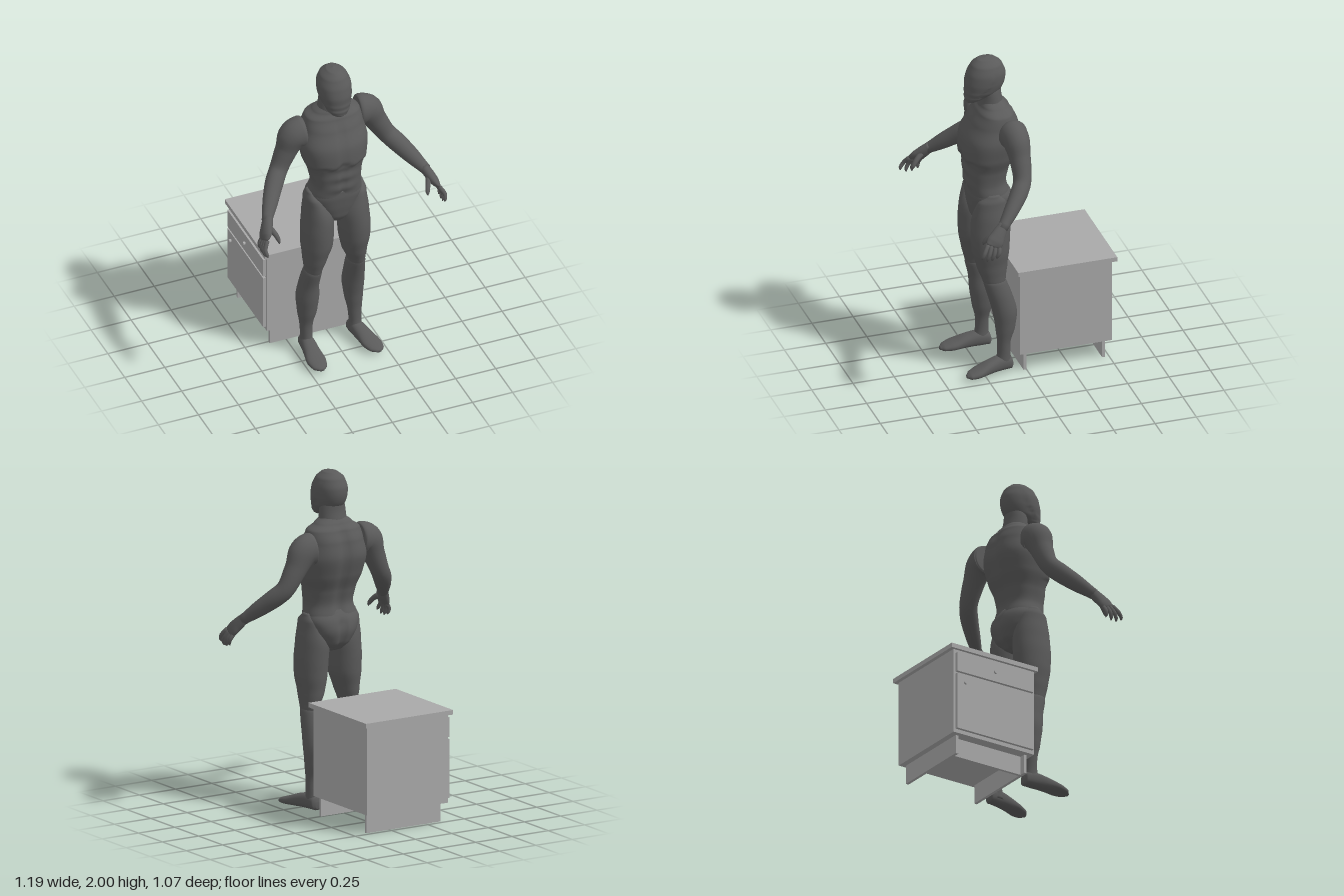
import * as THREE from 'three';

const V3 = (x, y, z) => new THREE.Vector3(x, y, z);
const X = V3(1, 0, 0), Y = V3(0, 1, 0), Z = V3(0, 0, 1);
const suit = new THREE.MeshStandardMaterial({ color: 0x5a5a5a });
suit.name = 'dark grey suit';
const panel = new THREE.MeshStandardMaterial({ color: 0xa8a8a8 });
panel.name = 'light grey cabinet';

// Closed smooth skin through rings [x, y, z, halfA, halfB].
// axes = fixed ring axes [U, V]; without it rings follow the path.
function loft(name, secs, { axes, power = 2, sides = 28, steps = 5, sculpt } = {}) {
  const pts = secs.map((s) => V3(s[0], s[1], s[2]));
  const rads = secs.map((s) => V3(s[3], s[4], 0));
  const path = new THREE.CatmullRomCurve3(pts, false, 'centripetal');
  const rad = new THREE.CatmullRomCurve3(rads, false, 'catmullrom', 0.3);
  const n = (secs.length - 1) * steps;
  const pos = [], idx = [];
  const push = (p) => { if (sculpt) sculpt(p); pos.push(p.x, p.y, p.z); };
  for (let i = 0; i <= n; i++) {
    const t = i / n, c = path.getPoint(t), r = rad.getPoint(t), dir = path.getTangent(t);
    const U = axes ? axes[0].clone() : dir.clone().cross(Z).normalize();
    const W = axes ? axes[1].clone() : dir.clone().cross(U).normalize();
    if (U.clone().cross(W).dot(dir) < 0) W.negate();
    for (let j = 0; j < sides; j++) {
      const a = (j / sides) * Math.PI * 2, co = Math.cos(a), si = Math.sin(a);
      const u = Math.sign(co) * Math.abs(co) ** (2 / power) * Math.max(r.x, 0.001);
      const w = Math.sign(si) * Math.abs(si) ** (2 / power) * Math.max(r.y, 0.001);
      push(c.clone().addScaledVector(U, u).addScaledVector(W, w));
    }
  }
  for (let i = 0; i < n; i++) for (let j = 0; j < sides; j++) {
    const a = i * sides + j, b = i * sides + (j + 1) % sides;
    idx.push(a, b, b + sides, a, b + sides, a + sides);
  }
  const first = pos.length / 3;
  push(pts[0].clone());
  push(pts[pts.length - 1].clone());
  for (let j = 0; j < sides; j++) {
    const k = (j + 1) % sides;
    idx.push(first, k, j, first + 1, n * sides + j, n * sides + k);
  }
  const g = new THREE.BufferGeometry();
  g.setAttribute('position', new THREE.Float32BufferAttribute(pos, 3));
  g.setIndex(idx);
  g.computeVertexNormals();
  const m = new THREE.Mesh(g, suit);
  m.name = name;
  return m;
}

// Upright body part from extents [y, x0, x1, z0, z1]
const upright = (name, rows, opts = {}) => loft(name,
  rows.map(([y, a, b, c, d]) => [(a + b) / 2, y, (c + d) / 2, (b - a) / 2, (d - c) / 2]),
  { axes: [X, Z], ...opts });

const bump = (v, w) => Math.exp(-((v / w) ** 2));
const step = THREE.MathUtils.smoothstep;

// Muscle relief: breastbone, rib arch, belly bands and spine
function torsoRelief(p) {
  const dx = p.x + 0.02;
  if (p.z > 0.18) {
    const k = step(p.z, 0.18, 0.27);
    const arch = 1.41 - 1.6 * dx * dx - 0.035 * bump(Math.abs(dx) - 0.06, 0.04);
    p.z -= k * 0.007 * bump(dx, 0.014) * step(p.y, 1.1, 1.2) * (1 - step(p.y, 1.6, 1.68));
    p.z -= k * 0.012 * (1 - step(p.y, arch - 0.012, arch + 0.012)) * bump(p.y - arch, 0.1);
    if (p.y < 1.36) p.z -= k * 0.004 * Math.cos(p.y * 75) * bump(dx, 0.08);
  } else {
    const k = 1 - step(p.z, 0.06, 0.18);
    p.z += k * 0.016 * bump(dx, 0.028) * (1 - step(p.y, 1.62, 1.72));
    p.z -= k * 0.006 * bump(Math.abs(dx) - 0.1, 0.05) * bump(p.y - 1.55, 0.1);
  }
}

// Face plate stands slightly proud of the skull
function faceRelief(p) {
  const seam = 0.2 + (p.y - 1.76) * -0.28 + 0.05 * bump(p.y - 1.78, 0.05);
  const k = step(p.z, seam - 0.004, seam + 0.006) * (1 - step(p.y, 1.9, 1.98));
  p.x += Math.sign(p.x + 0.027) * 0.005 * k * step(Math.abs(p.x + 0.027), 0.01, 0.05);
  p.z += 0.003 * k;
}

// Arm, hand and fingers; side s = -1 or +1
function arm(name, s, rows, wrist, splay) {
  const g = new THREE.Group();
  g.name = name;
  g.add(loft('armSkin', rows, { sides: 24 }));
  const [wx, wy, wz] = wrist;
  const knuckle = [wx + s * 0.04, wy - 0.075, wz + 0.065];
  g.add(loft('palm', [
    [wx - s * 0.012, wy + 0.02, wz - 0.015, 0.028, 0.03],
    [wx + s * 0.012, wy - 0.025, wz + 0.025, 0.03, 0.042],
    [wx + s * 0.03, wy - 0.055, wz + 0.05, 0.026, 0.05],
    [...knuckle, 0.018, 0.046],
    [wx + s * 0.043, wy - 0.087, wz + 0.072, 0.006, 0.03]], { sides: 16 }));
  for (let i = 0; i < 4; i++) {
    const f = (i - 1.5) / 1.5;
    const z = knuckle[2] + f * 0.034, y = knuckle[1] + f * 0.008;
    const len = [0.065, 0.08, 0.085, 0.075][i];
    g.add(loft('finger', [
      [knuckle[0], y, z, 0.013, 0.013],
      [knuckle[0] + s * 0.022, y - len * 0.5, z + 0.016 + f * 0.01, 0.0125, 0.0125],
      [knuckle[0] + s * 0.02, y - len * 0.88, z + 0.028 + f * splay, 0.0105, 0.0105],
      [knuckle[0] + s * 0.014, y - len * 1.08, z + 0.03 + f * splay, 0.003, 0.003]],
    { sides: 10, steps: 3 }));
  }
  g.add(loft('thumb', [
    [wx, wy - 0.025, wz + 0.035, 0.018, 0.018],
    [wx - s * 0.022, wy - 0.055, wz + 0.075, 0.015, 0.015],
    [wx - s * 0.033, wy - 0.085, wz + 0.098, 0.012, 0.012],
    [wx - s * 0.034, wy - 0.103, wz + 0.105, 0.003, 0.003]], { sides: 10, steps: 3 }));
  return g;
}

// Leg from thigh, shin and foot rows
function leg(name, thigh, shin, foot) {
  const g = new THREE.Group();
  g.name = name;
  g.add(upright('thigh', thigh), upright('shin', shin),
    loft('foot', foot, { axes: [X, Y], power: 2.3 }));
  return g;
}

function figure() {
  const g = new THREE.Group();
  g.name = 'figure';
  g.add(upright('head', [
    [2.0, -0.03, -0.024, 0.18, 0.186], [1.99, -0.069, 0.015, 0.13, 0.24],
    [1.955, -0.106, 0.052, 0.092, 0.275], [1.90, -0.122, 0.067, 0.072, 0.298],
    [1.85, -0.122, 0.067, 0.076, 0.31], [1.80, -0.112, 0.058, 0.10, 0.312],
    [1.765, -0.095, 0.041, 0.165, 0.312], [1.735, -0.07, 0.016, 0.235, 0.31],
    [1.725, -0.055, 0.001, 0.255, 0.303]], { power: 2.1, sides: 48, steps: 8, sculpt: faceRelief }));
  g.add(upright('neck', [
    [1.84, -0.095, 0.042, 0.10, 0.23], [1.77, -0.108, 0.054, 0.098, 0.225],
    [1.70, -0.113, 0.06, 0.085, 0.232], [1.64, -0.12, 0.07, 0.08, 0.24]]));
  g.add(upright('torso', [
    [1.735, -0.10, 0.048, 0.10, 0.215], [1.70, -0.14, 0.094, 0.07, 0.228],
    [1.665, -0.185, 0.145, 0.04, 0.25], [1.60, -0.203, 0.158, 0.015, 0.285],
    [1.50, -0.23, 0.177, 0.005, 0.332], [1.40, -0.215, 0.165, 0.028, 0.342],
    [1.30, -0.18, 0.135, 0.065, 0.327], [1.22, -0.167, 0.127, 0.08, 0.316],
    [1.15, -0.182, 0.137, 0.065, 0.305], [1.10, -0.165, 0.12, 0.07, 0.285]],
  { power: 2.4, sides: 64, steps: 10, sculpt: torsoRelief }));
  // Hip shell with a cleft at the back
  g.add(upright('pelvis', [
    [1.19, -0.17, 0.126, 0.085, 0.305], [1.13, -0.188, 0.143, 0.048, 0.305],
    [1.07, -0.168, 0.123, 0.035, 0.298], [1.0, -0.125, 0.082, 0.052, 0.285],
    [0.955, -0.075, 0.033, 0.09, 0.26], [0.935, -0.045, 0.003, 0.13, 0.22]],
  { power: 2.4, sides: 48, sculpt: (p) => {
    if (p.z < 0.15) p.z += 0.02 * bump(p.x + 0.021, 0.018) * (1 - step(p.y, 1.1, 1.17));
  } }));

  g.add(arm('rightArm', -1, [
    [-0.2, 1.578, 0.155, 0.08, 0.072], [-0.212, 1.577, 0.155, 0.096, 0.086],
    [-0.262, 1.56, 0.155, 0.092, 0.084], [-0.308, 1.47, 0.157, 0.067, 0.064],
    [-0.36, 1.365, 0.172, 0.056, 0.052], [-0.405, 1.31, 0.215, 0.056, 0.052],
    [-0.455, 1.25, 0.28, 0.05, 0.045], [-0.52, 1.17, 0.375, 0.032, 0.03]],
  [-0.52, 1.17, 0.375], 0.018));
  g.add(arm('leftArm', 1, [
    [0.16, 1.578, 0.09, 0.08, 0.072], [0.172, 1.577, 0.09, 0.096, 0.084],
    [0.222, 1.56, 0.085, 0.092, 0.078], [0.28, 1.47, 0.08, 0.067, 0.062],
    [0.345, 1.36, 0.088, 0.056, 0.052], [0.39, 1.31, 0.122, 0.056, 0.052],
    [0.445, 1.25, 0.18, 0.05, 0.045], [0.52, 1.165, 0.268, 0.032, 0.03]],
  [0.52, 1.165, 0.268], 0.01));

  g.add(leg('rightLeg', [
    [1.17, -0.195, -0.165, 0.16, 0.22], [1.12, -0.21, -0.11, 0.11, 0.28],
    [1.0, -0.222, -0.045, 0.085, 0.312], [0.9, -0.23, -0.041, 0.085, 0.318],
    [0.8, -0.23, -0.045, 0.092, 0.313], [0.7, -0.22, -0.077, 0.11, 0.293],
    [0.62, -0.21, -0.105, 0.125, 0.272], [0.56, -0.2, -0.12, 0.14, 0.25]], [
    [0.63, -0.195, -0.12, 0.15, 0.262], [0.59, -0.216, -0.109, 0.125, 0.267],
    [0.5, -0.23, -0.115, 0.1, 0.245], [0.4, -0.245, -0.11, 0.085, 0.235],
    [0.3, -0.238, -0.12, 0.095, 0.22], [0.2, -0.224, -0.145, 0.118, 0.198],
    [0.12, -0.219, -0.15, 0.12, 0.2], [0.05, -0.222, -0.145, 0.115, 0.215]], [
    [-0.183, 0.05, 0.105, 0.015, 0.02], [-0.183, 0.06, 0.118, 0.036, 0.04],
    [-0.185, 0.067, 0.18, 0.042, 0.047], [-0.19, 0.06, 0.25, 0.048, 0.04],
    [-0.193, 0.046, 0.33, 0.057, 0.027], [-0.192, 0.038, 0.385, 0.044, 0.018],
    [-0.19, 0.034, 0.412, 0.015, 0.008]]));
  g.add(leg('leftLeg', [
    [1.17, 0.12, 0.15, 0.16, 0.22], [1.12, 0.065, 0.165, 0.11, 0.28],
    [1.0, 0.0, 0.18, 0.08, 0.31], [0.9, 0.0, 0.188, 0.082, 0.315],
    [0.8, 0.007, 0.188, 0.088, 0.308], [0.7, 0.027, 0.174, 0.1, 0.283],
    [0.62, 0.06, 0.167, 0.113, 0.255], [0.56, 0.075, 0.158, 0.12, 0.232]], [
    [0.63, 0.08, 0.155, 0.135, 0.245], [0.59, 0.062, 0.17, 0.108, 0.246],
    [0.5, 0.06, 0.18, 0.075, 0.22], [0.4, 0.058, 0.187, 0.05, 0.195],
    [0.3, 0.07, 0.182, 0.06, 0.178], [0.2, 0.088, 0.172, 0.09, 0.168],
    [0.12, 0.095, 0.17, 0.09, 0.17], [0.05, 0.09, 0.172, 0.085, 0.185]], [
    [0.128, 0.05, 0.075, 0.015, 0.02], [0.129, 0.06, 0.088, 0.036, 0.04],
    [0.136, 0.067, 0.15, 0.042, 0.047], [0.15, 0.06, 0.22, 0.048, 0.04],
    [0.168, 0.046, 0.295, 0.056, 0.027], [0.178, 0.038, 0.345, 0.044, 0.018],
    [0.183, 0.034, 0.37, 0.015, 0.008]]));
  return g;
}

function cabinet() {
  const g = new THREE.Group();
  g.name = 'cabinet';
  const box = (name, x0, x1, y0, y1, z0, z1) => {
    const m = new THREE.Mesh(new THREE.BoxGeometry(x1 - x0, y1 - y0, z1 - z0), panel);
    m.position.set((x0 + x1) / 2, (y0 + y1) / 2, (z0 + z1) / 2);
    m.name = name;
    g.add(m);
  };
  box('worktop', -0.4, 0.2, 0.645, 0.672, -0.536, 0.064);
  box('body', -0.382, 0.178, 0.12, 0.645, -0.512, 0.048);
  box('drawerFront', -0.4, -0.382, 0.505, 0.622, -0.498, 0.034);
  box('door', -0.4, -0.382, 0.143, 0.492, -0.498, 0.034);
  // Plinth: two side boards and a recessed toe board
  box('plinthBoard', -0.352, 0.157, 0.005, 0.12, 0.0, 0.018);
  box('plinthBoard', -0.352, 0.157, 0.005, 0.12, -0.476, -0.458);
  box('toeBoard', -0.315, -0.297, 0.005, 0.12, -0.458, 0.0);
  for (const [y, z] of [[0.562, -0.235], [0.44, -0.442]]) {
    const knob = new THREE.Mesh(new THREE.CylinderGeometry(0.011, 0.009, 0.016, 20), panel);
    knob.rotation.z = Math.PI / 2;
    knob.position.set(-0.406, y, z);
    knob.name = 'knob';
    g.add(knob);
  }
  return g;
}

export function createModel() {
  const model = new THREE.Group();
  model.name = 'figureWithCabinet';
  model.add(figure(), cabinet());
  return model;
}
